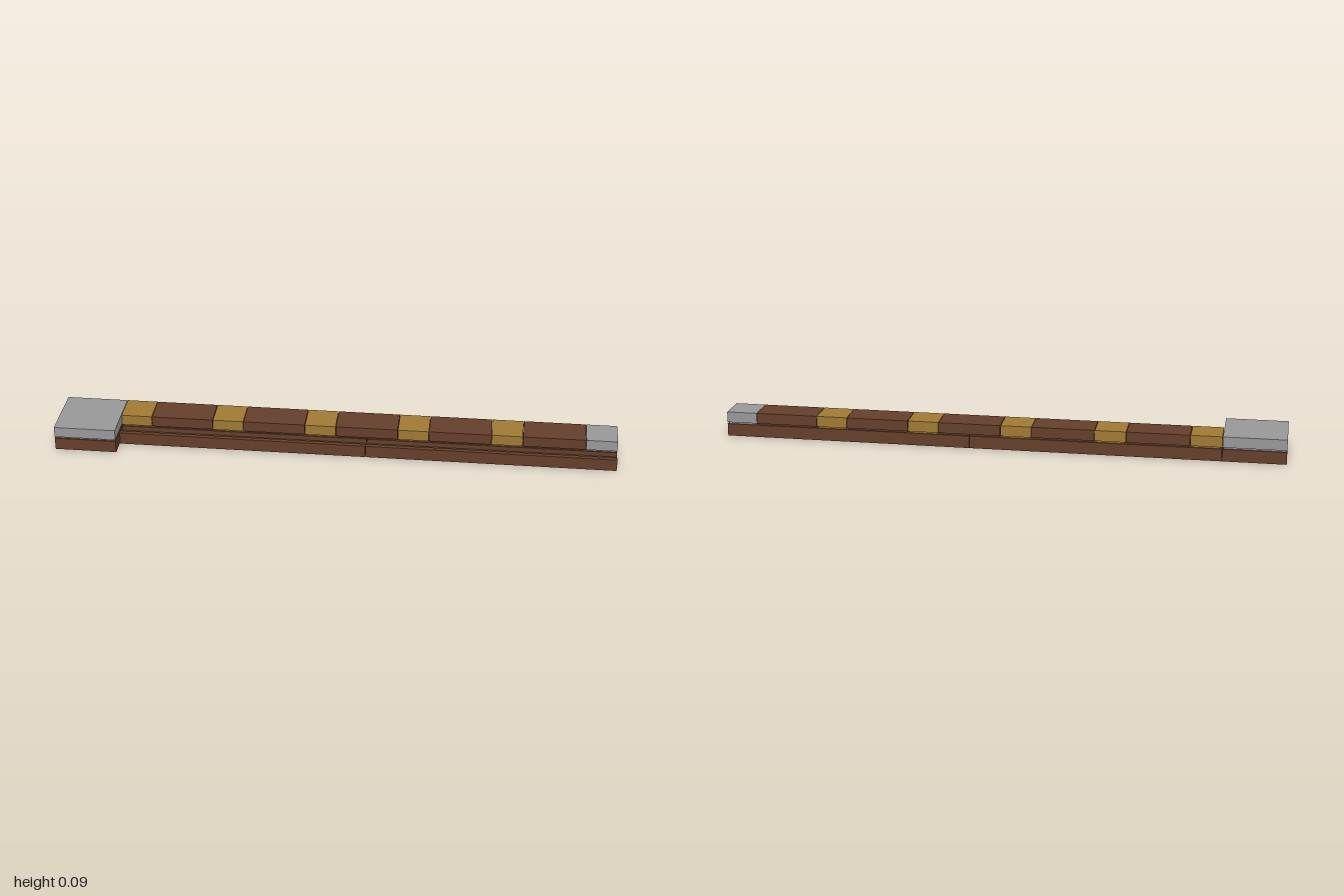
import * as THREE from 'three';

const U = 1 / 9;        // one module
const H = 0.0444;       // layer height
const WALL = 0.02;      // plate wall thickness
const ROOF = 0.014;     // plate roof thickness
const GAP = 0.0008;     // clearance between neighbouring parts

const material = (name, color) => {
  const m = new THREE.MeshStandardMaterial({ color });
  m.name = name;
  return m;
};

export function createModel() {
  const brown = material('brown', 0x653f2b);
  const gold = material('gold', 0xa07a34);
  const grey = material('grey', 0x99989a);
  const model = new THREE.Group();
  model.name = 'tiledBeam';

  const add = (parent, name, geometry, mat, x = 0, y = 0, z = 0) => {
    const mesh = new THREE.Mesh(geometry, mat);
    mesh.name = name;
    mesh.position.set(x, y, z);
    parent.add(mesh);
  };

  // Hollow plate, open below, centred on x and z
  const makePlate = (name, w, d, x, z) => {
    const g = new THREE.Group();
    g.name = name;
    g.position.set(x, 0, z);
    const rect = (T, a, b) => new T([
      new THREE.Vector2(-a, -b), new THREE.Vector2(a, -b),
      new THREE.Vector2(a, b), new THREE.Vector2(-a, b)]);
    const ring = rect(THREE.Shape, w / 2 - GAP, d / 2);
    ring.holes.push(rect(THREE.Path, w / 2 - WALL, d / 2 - WALL));
    const walls = new THREE.ExtrudeGeometry(ring, { depth: H - ROOF, bevelEnabled: false });
    walls.rotateX(-Math.PI / 2);
    add(g, 'plateWalls', walls, brown);
    add(g, 'plateRoof', new THREE.BoxGeometry(w - 2 * GAP, ROOF, d), brown, 0, H - ROOF / 2);
    model.add(g);
    return g;
  };

  // Wide end plate with a central tube below
  const endPlate = makePlate('endPlate', 2 * U, 2 * U, -8 * U, 0);
  const tubeProfile = [[0.033, H - ROOF], [0.033, 0], [0.045, 0], [0.045, H - ROOF]]
    .map(([r, y]) => new THREE.Vector2(r, y));
  // Separate lathes keep the rim edges sharp
  for (let i = 0; i < 3; i++) {
    add(endPlate, 'undersideTube', new THREE.LatheGeometry(tubeProfile.slice(i, i + 2), 32), brown);
  }

  // T-shaped rail profile: web, then a full-height lip (z, y)
  const railShape = new THREE.Shape([
    [0, 0.018], [0.034, 0.018], [0.034, 0], [0.05, 0],
    [0.05, H], [0.034, H], [0.034, 0.027], [0, 0.027],
  ].map(([z, y]) => new THREE.Vector2(z, y)));
  const railLength = 8 * U - 2 * GAP;
  const rail = new THREE.ExtrudeGeometry(railShape, { depth: railLength, bevelEnabled: false });
  rail.rotateY(-Math.PI / 2);
  rail.translate(railLength / 2, 0, 0);

  // Two long plates with a front rail and a row of pins below
  const pin = new THREE.CylinderGeometry(0.022, 0.022, H - ROOF, 24);
  for (const x of [-3 * U, 5 * U]) {
    const plate = makePlate('railPlate', 8 * U, U, x, -U / 2);
    add(plate, 'rail', rail, brown, 0, 0, U / 2);
    for (let i = -3; i <= 3; i++) add(plate, 'undersidePin', pin, brown, i * U, (H - ROOF) / 2, 0);
  }

  // Smooth tile with a recessed foot
  const FOOT = 0.006;
  const addTile = (name, mat, w, d, x, z) => {
    const g = new THREE.Group();
    g.name = name;
    g.position.set(x, H, z);
    add(g, 'tileFoot', new THREE.BoxGeometry(w - 0.011, FOOT, d - 0.011), mat, 0, FOOT / 2);
    add(g, 'tileBody', new THREE.BoxGeometry(w - 2 * GAP, H - FOOT, d), mat, 0, (H + FOOT) / 2);
    model.add(g);
  };

  addTile('wideEndTile', grey, 2 * U, 2 * U, -8 * U, 0);
  for (let i = 0; i < 5; i++) {
    const x = (-7 + 3 * i) * U;
    addTile('goldTile', gold, U, U, x + U / 2, -U / 2);
    addTile('brownTile', brown, 2 * U, U, x + 2 * U, -U / 2);
  }
  addTile('smallEndTile', grey, U, U, 8.5 * U, -U / 2);

  return model;
}
